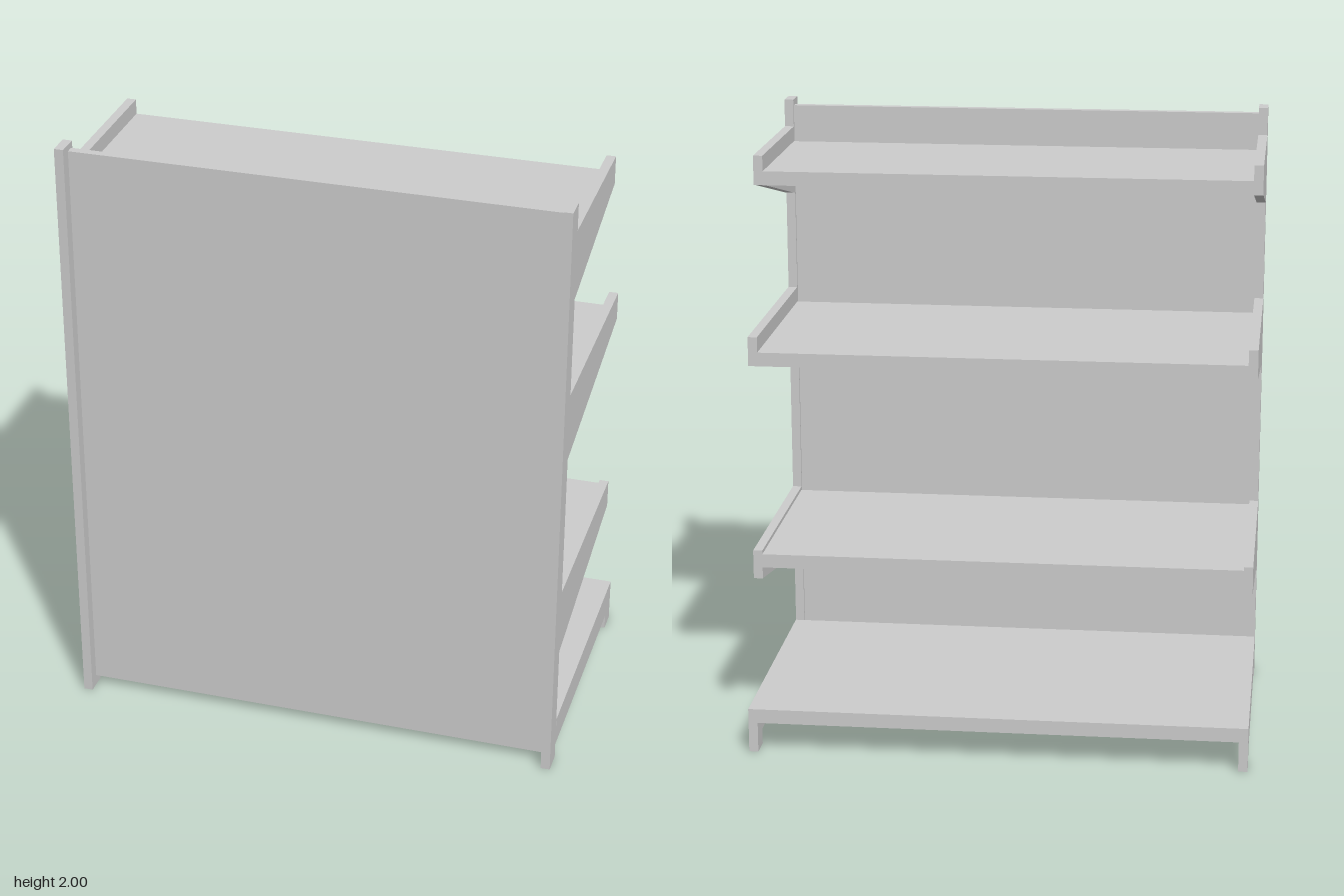
import * as THREE from 'three';

export function createModel() {
  const group = new THREE.Group();
  const material = new THREE.MeshStandardMaterial({ color: 0xcccccc, flatShading: true });
  const INNER = 0.78, THICK = 0.03, BACK = 0.395;

  // Box given by its min and max corners
  function box(name, x0, x1, y0, y1, z0, z1) {
    const mesh = new THREE.Mesh(new THREE.BoxGeometry(x1 - x0, y1 - y0, z1 - z0), material);
    mesh.position.set((x0 + x1) / 2, (y0 + y1) / 2, (z0 + z1) / 2);
    mesh.name = name;
    group.add(mesh);
  }

  // Side plate cut from a (z, y) outline, placed at both ends of the unit
  function sidePlates(name, outline) {
    const shape = new THREE.Shape(outline.map(([z, y]) => new THREE.Vector2(-z, y)));
    const geometry = new THREE.ExtrudeGeometry(shape, { depth: THICK, bevelEnabled: false });
    geometry.rotateY(Math.PI / 2);
    for (const [side, x] of [['left', INNER], ['right', -INNER - THICK]]) {
      const mesh = new THREE.Mesh(geometry, material);
      mesh.position.x = x;
      mesh.name = side + name;
      group.add(mesh);
    }
  }

  // Upright posts and the panel between them
  sidePlates('Post', [[0.47, 0], [BACK, 0], [BACK, 2], [0.47, 2]]);
  box('backPanel', -INNER, INNER, 0.035, 1.98, 0.405, 0.432);

  // Base: side rails with feet, and a full-width deck
  sidePlates('BaseRail', [
    [BACK, 0.05], [-0.392, 0.05], [-0.392, 0], [-0.466, 0], [-0.466, 0.1], [BACK, 0.1],
  ]);
  box('baseDeck', -INNER - THICK, INNER + THICK, 0.1, 0.147, -0.466, 0.392);

  // Shelves carried by tapered brackets
  const shelves = [
    { name: 'lower', top: 0.641, front: -0.32, drop: 0.012 },
    { name: 'middle', top: 1.355, front: -0.32, drop: 0.05 },
    { name: 'upper', top: 1.91, front: -0.16, drop: 0.05 },
  ];
  for (const { name, top, front, drop } of shelves) {
    sidePlates(name[0].toUpperCase() + name.slice(1) + 'Bracket', [
      [BACK, top - 0.226], [0.375, top - 0.223], [front + 0.015, top - 0.097],
      [front, top - 0.095], [front, top], [BACK, top],
    ]);
    box(name + 'Shelf', -INNER, INNER, top - drop - 0.045, top - drop, front, 0.392);
  }

  return group;
}
